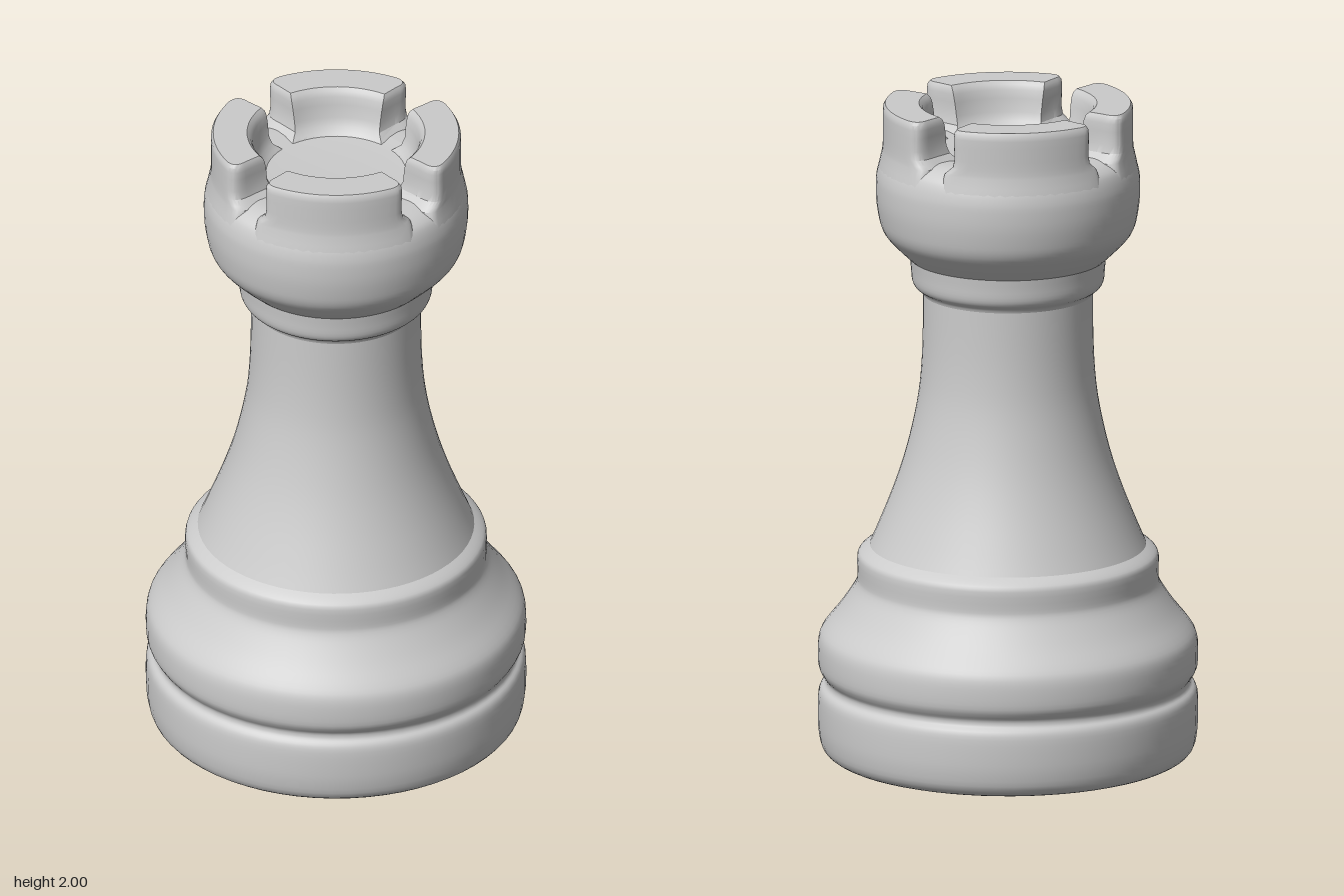
import * as THREE from 'three';
import { toCreasedNormals } from 'three/addons/utils/BufferGeometryUtils.js';

const material = new THREE.MeshStandardMaterial({ color: 0xcccccc });

// Smooth turned section: the profile points [radius, height] run bottom to top
function turned(name, points, steps = 3) {
  const curve = new THREE.SplineCurve(points.map(([r, y]) => new THREE.Vector2(r, y)));
  const profile = curve.getPoints((points.length - 1) * steps);
  const mesh = new THREE.Mesh(new THREE.LatheGeometry(profile, 64), material);
  mesh.name = name;
  return mesh;
}

// Points along an arc about the origin
function arc(radius, from, to, steps) {
  return Array.from({ length: steps + 1 }, (_, i) => {
    const angle = from + ((to - from) * i) / steps;
    return new THREE.Vector2(radius * Math.cos(angle), radius * Math.sin(angle));
  });
}

// Plan outline of one battlement: outer radius R, inner radius r, half gap g.
// Every outline has the same number of points.
function battlementOutline(R, r, g) {
  const outer = Math.asin((g + 0.045) / R);
  const inner = Math.asin(g / r);
  const corner = Math.sqrt(R * R - g * g);
  const mid = r + (R - r) * 0.45;
  const outerArc = arc(R, outer, Math.PI / 2 - outer, 16);
  const innerArc = arc(r, Math.PI / 2 - inner, inner, 12);
  const farCorner = new THREE.QuadraticBezierCurve(
    outerArc[16], new THREE.Vector2(g, corner), new THREE.Vector2(g + 0.004, mid));
  const nearCorner = new THREE.QuadraticBezierCurve(
    new THREE.Vector2(mid, g + 0.004), new THREE.Vector2(corner, g), outerArc[0]);
  return [
    ...outerArc,
    ...farCorner.getPoints(8).slice(1),
    ...innerArc,
    ...nearCorner.getPoints(8).slice(0, -1),
  ];
}

// Battlement skinned through stacked outlines: height, outer, inner, half gap
function battlementGeometry() {
  const levels = [
    [1.80, 0.386, 0.20, 0.012],
    [1.83, 0.380, 0.20, 0.014],
    [1.86, 0.373, 0.205, 0.018],
    [1.87, 0.372, 0.215, 0.030],
    [1.885, 0.371, 0.228, 0.047],
    [1.91, 0.371, 0.238, 0.053],
    [1.95, 0.371, 0.243, 0.052],
    [1.975, 0.371, 0.248, 0.052],
    [1.99, 0.370, 0.254, 0.054],
    [2.00, 0.364, 0.264, 0.060],
  ];
  const rings = levels.map(([, R, r, g]) => battlementOutline(R, r, g));
  const n = rings[0].length;
  const positions = [];
  const index = [];
  rings.forEach((ring, i) => ring.forEach((p) => positions.push(p.x, levels[i][0], -p.y)));
  for (let i = 0; i < rings.length - 1; i++) {
    for (let j = 0; j < n; j++) {
      const a = i * n + j;
      const b = i * n + ((j + 1) % n);
      index.push(a, b, b + n, a, b + n, a + n);
    }
  }
  // Flat top
  const top = (rings.length - 1) * n;
  for (const [a, b, c] of THREE.ShapeUtils.triangulateShape(rings[rings.length - 1], [])) {
    index.push(top + a, top + b, top + c);
  }
  const geometry = new THREE.BufferGeometry();
  geometry.setAttribute('position', new THREE.Float32BufferAttribute(positions, 3));
  geometry.setIndex(index);
  return toCreasedNormals(geometry, 0.6);
}

export function createModel() {
  const group = new THREE.Group();

  // Underside and grooved foot
  group.add(turned('underside', [[0, 0], [0.47, 0]], 1));
  group.add(turned('foot', [
    [0.47, 0], [0.52, 0.012], [0.55, 0.035], [0.561, 0.08], [0.564, 0.13], [0.563, 0.19],
    [0.556, 0.215], [0.543, 0.228], [0.541, 0.245], [0.552, 0.262], [0.562, 0.285],
    [0.564, 0.33], [0.560, 0.37], [0.545, 0.40], [0.505, 0.45], [0.470, 0.50],
    [0.450, 0.535], [0.446, 0.56], [0.447, 0.615], [0.435, 0.635], [0.410, 0.652],
  ]));

  // Flared stem
  group.add(turned('stem', [
    [0.410, 0.652], [0.385, 0.71], [0.345, 0.81], [0.311, 0.91], [0.285, 1.01],
    [0.266, 1.11], [0.257, 1.20], [0.253, 1.30], [0.252, 1.42],
  ]));

  // Neck ring and cup-shaped head
  group.add(turned('neckRing', [
    [0.252, 1.42], [0.258, 1.432], [0.276, 1.445], [0.285, 1.465], [0.288, 1.50], [0.291, 1.53],
  ]));
  group.add(turned('head', [
    [0.291, 1.53], [0.315, 1.552], [0.357, 1.595], [0.375, 1.625], [0.384, 1.66],
    [0.391, 1.71], [0.392, 1.76], [0.389, 1.79], [0.381, 1.82], [0.368, 1.842],
    [0.340, 1.860], [0.300, 1.869], [0.250, 1.868],
  ]));

  // Shallow dished floor between the battlements
  group.add(turned('towerFloor', [[0.25, 1.868], [0.20, 1.862], [0.10, 1.858], [0, 1.857]]));

  // Four battlements
  const geometry = battlementGeometry();
  for (let i = 0; i < 4; i++) {
    const battlement = new THREE.Mesh(geometry, material);
    battlement.name = `battlement${i + 1}`;
    battlement.rotation.y = (i * Math.PI) / 2;
    group.add(battlement);
  }
  return group;
}
